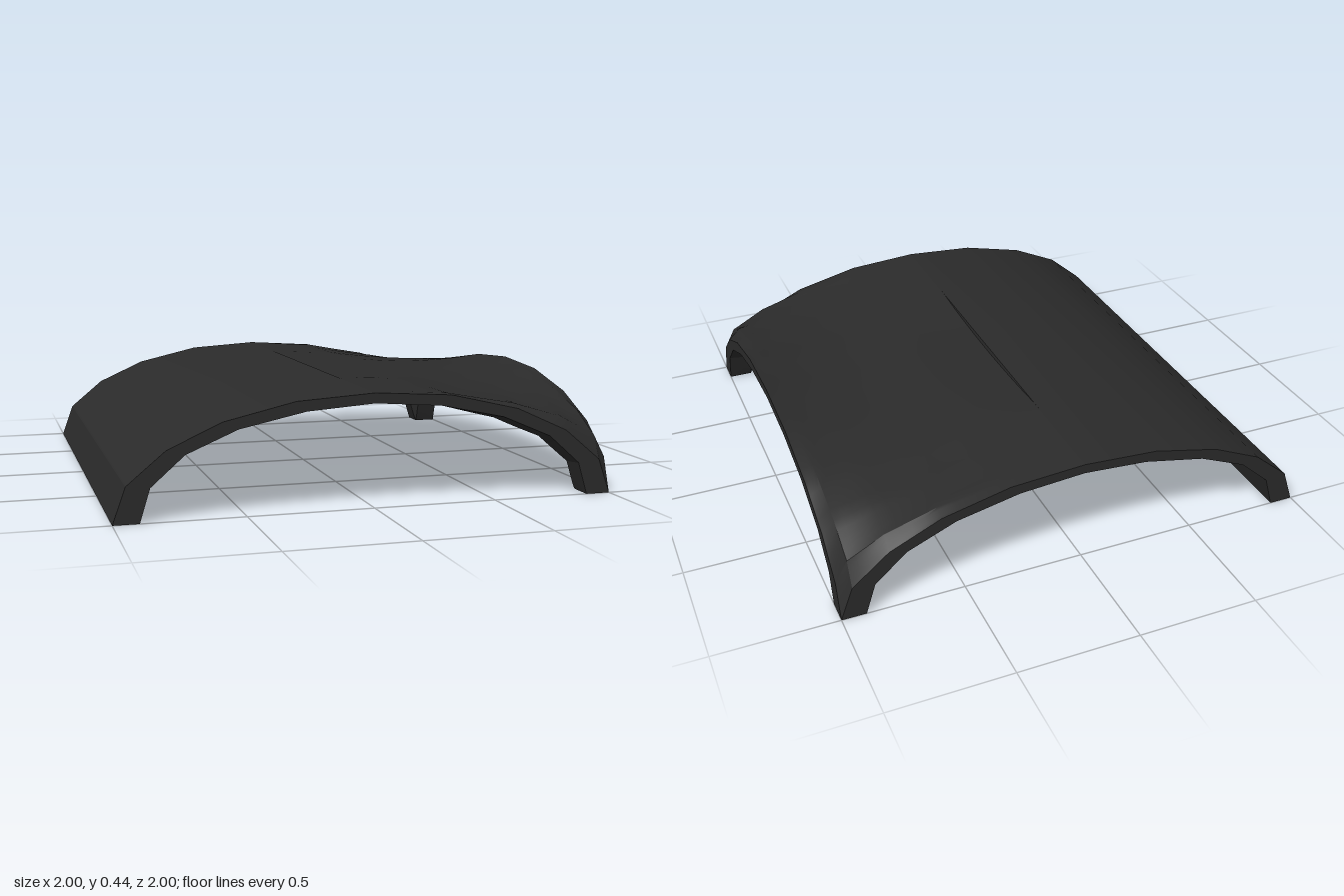
import * as THREE from 'three';
import { toCreasedNormals } from 'three/addons/utils/BufferGeometryUtils.js';

// Half-arch profiles from crown to foot: [distance from centre, height]
const OUTER = [[0, 0.445], [0.31, 0.425], [0.59, 0.36], [0.8, 0.265], [0.95, 0.14], [1, 0]];
const INNER = [[0, 0.405], [0.27, 0.385], [0.53, 0.33], [0.73, 0.245], [0.86, 0.13], [0.9, 0]];
const CREASE = 0.4;

// Height of a profile at distance d, zero beyond its foot
function profileHeight(profile, d) {
  const a = Math.abs(d);
  for (let i = 1; i < profile.length; i++) {
    const [x0, y0] = profile[i - 1], [x1, y1] = profile[i];
    if (a <= x1) return y0 + (y1 - y0) * (a - x0) / (x1 - x0);
  }
  return 0;
}

// Slight slump of the open side, fading to nothing at its arches
function sag(x, z) {
  const t = THREE.MathUtils.smoothstep(x, 0, 0.45);
  const seam = 0.022 * Math.max(0, 1 - (z / 0.53) ** 2);
  const body = (0.02 + 0.022 * THREE.MathUtils.smoothstep(x, 0.25, 0.65)) * (1 - z ** 6);
  return THREE.MathUtils.lerp(seam, body, t) * (1 - x ** 6);
}

// Vault that follows the profile along all three open edges
function vaultHeight(profile, x, z) {
  const top = profile[0][1];
  const drop = (top - profileHeight(profile, x)) * (top - profileHeight(profile, z)) / top;
  return Math.max(0, top - drop - sag(x, z));
}

// Profile breakpoints with extra steps in between
function stations(profile, steps) {
  const ends = profile.map(p => p[0]);
  if (ends[ends.length - 1] < 1) ends.push(1);
  const out = [0];
  for (let i = 1; i < ends.length; i++)
    for (let s = 1; s <= steps; s++) out.push(ends[i - 1] + (ends[i] - ends[i - 1]) * s / steps);
  return out;
}

function vaultSurface(profile, facingUp) {
  const xs = stations(profile, 4);
  const zs = [...xs.slice(1).reverse().map(v => -v), ...xs];
  const positions = [], index = [], n = zs.length;
  for (const x of xs) for (const z of zs) positions.push(x, vaultHeight(profile, x, z), z);
  for (let i = 0; i < xs.length - 1; i++) {
    for (let j = 0; j < n - 1; j++) {
      const a = i * n + j, b = a + 1, c = a + n, d = c + 1;
      if (facingUp) index.push(a, b, c, b, d, c);
      else index.push(a, c, b, b, c, d);
    }
  }
  const geometry = new THREE.BufferGeometry();
  geometry.setAttribute('position', new THREE.Float32BufferAttribute(positions, 3));
  geometry.setIndex(index);
  return toCreasedNormals(geometry, CREASE);
}

// Half-arch outline on the side given by sign
function halfArch(sign) {
  const points = [...OUTER, ...INNER.slice().reverse()];
  return new THREE.Shape(points.map(([x, y]) => new THREE.Vector2(sign * x, y)));
}

export function createModel() {
  const group = new THREE.Group();
  const material = new THREE.MeshStandardMaterial({ color: 0x2b2b2b, side: THREE.DoubleSide });
  const add = (name, geometry) => {
    const mesh = new THREE.Mesh(geometry, material);
    mesh.name = name;
    group.add(mesh);
    return mesh;
  };

  // Solid barrel half
  const barrel = new THREE.ExtrudeGeometry(halfArch(-1), { depth: 2, bevelEnabled: false });
  barrel.translate(0, 0, -1);
  add('barrelVault', toCreasedNormals(barrel, CREASE));

  // Open half, top and underside
  add('openVaultTop', vaultSurface(OUTER, true));
  add('openVaultUnderside', vaultSurface(INNER, false));

  // Arch faces around the open half
  add('frontArchFace', new THREE.ShapeGeometry(halfArch(1))).position.z = 1;
  const back = add('backArchFace', new THREE.ShapeGeometry(halfArch(-1)));
  back.rotation.y = Math.PI;
  back.position.z = -1;
  for (const sign of [-1, 1]) {
    const side = add('sideArchFace', new THREE.ShapeGeometry(halfArch(sign)));
    side.rotation.y = Math.PI / 2;
    side.position.x = 1;
  }
  return group;
}
